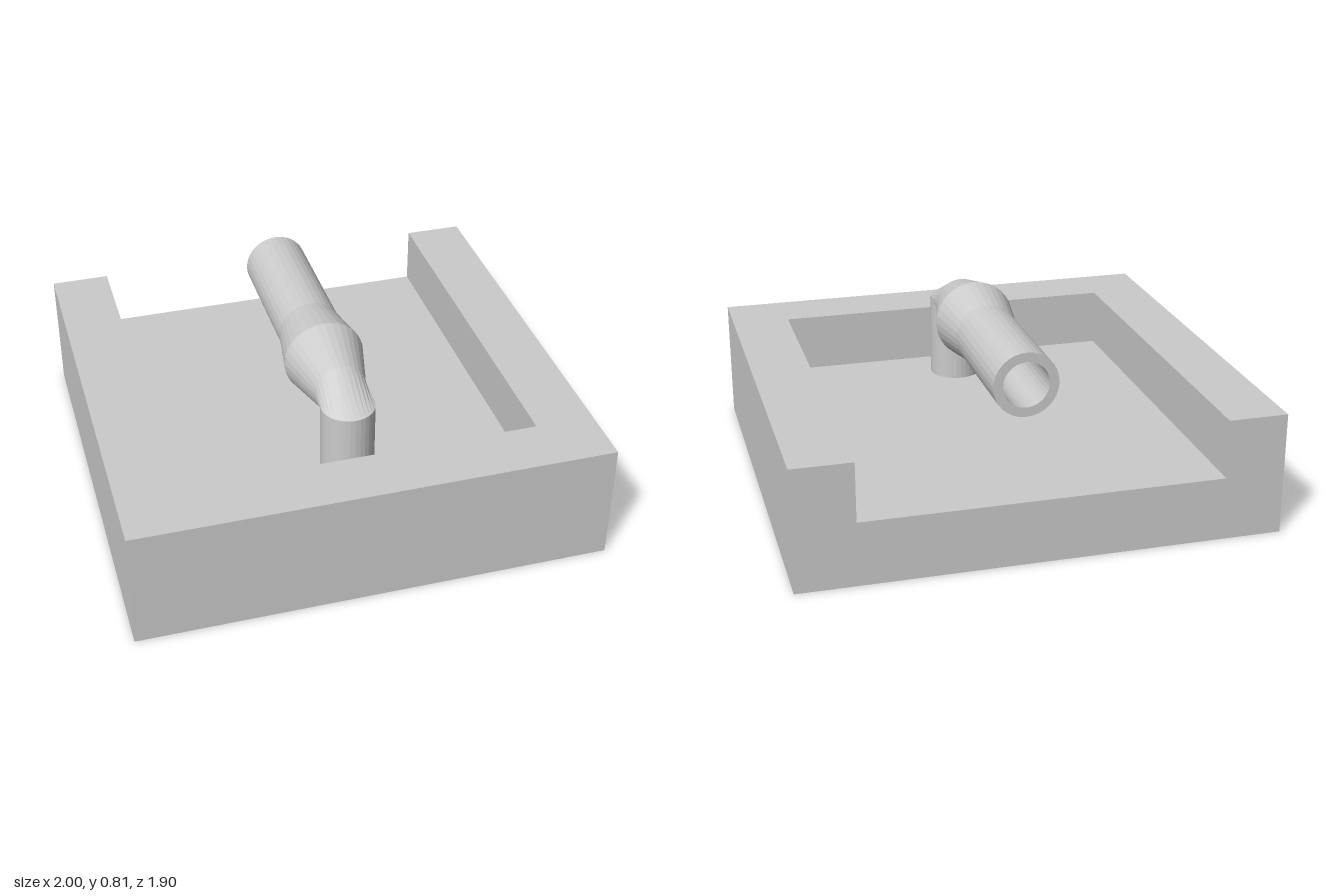
import * as THREE from 'three';

const material = new THREE.MeshStandardMaterial({ color: 0xcccccc, flatShading: true, side: THREE.DoubleSide });
const SIDES = 32;
const FLOOR = 0.27, TOP = 0.52;

// Skin a list of rings { r, y, z, pitch }: pitch 0 stands upright, PI/2 lies flat.
function loft(rings) {
  const positions = [], indices = [];
  for (const { r, y, z, pitch } of rings) {
    for (let j = 0; j < SIDES; j++) {
      const t = (j / SIDES) * Math.PI * 2;
      const s = r * Math.sin(t);
      positions.push(r * Math.cos(t), y + s * Math.cos(pitch), z + s * Math.sin(pitch));
    }
  }
  for (let i = 0; i < rings.length - 1; i++) {
    for (let j = 0; j < SIDES; j++) {
      const k = (j + 1) % SIDES;
      const a = i * SIDES + j, b = i * SIDES + k;
      indices.push(a, b, b + SIDES, a, b + SIDES, a + SIDES);
    }
  }
  const geometry = new THREE.BufferGeometry();
  geometry.setAttribute('position', new THREE.Float32BufferAttribute(positions, 3));
  geometry.setIndex(indices);
  geometry.computeVertexNormals();
  return geometry;
}

export function createModel() {
  const model = new THREE.Group();
  const add = (name, geometry) => {
    const mesh = new THREE.Mesh(geometry, material);
    mesh.name = name;
    model.add(mesh);
    return mesh;
  };

  // Tray floor slab
  add('trayBase', new THREE.BoxGeometry(2, FLOOR, 1.9)).position.y = FLOOR / 2;

  // U-shaped wall, open at the back (shape y points to -z)
  const wall = new THREE.Shape([
    [-1, -0.95], [1, -0.95], [1, 0.95], [0.75, 0.95],
    [0.75, -0.7], [-0.75, -0.7], [-0.75, 0.95], [-1, 0.95],
  ].map(([x, y]) => new THREE.Vector2(x, y)));
  const wallGeometry = new THREE.ExtrudeGeometry(wall, { depth: TOP - FLOOR, bevelEnabled: false });
  wallGeometry.rotateX(-Math.PI / 2);
  add('trayWall', wallGeometry).position.y = FLOOR;

  // Hollow pipe: tail, bulge, taper, then a bend down to the floor
  const axis = 0.638, thickness = 0.04, flat = Math.PI / 2;
  const outer = [
    { r: 0.137, y: axis, z: -0.66, pitch: 0 },
    { r: 0.137, y: axis, z: -0.07, pitch: 0 },
    { r: 0.173, y: axis, z: 0.15, pitch: 0 },
    { r: 0.113, y: axis, z: 0.39, pitch: 0 },
    { r: 0.113, y: axis, z: 0.503, pitch: flat },
    { r: 0.113, y: FLOOR, z: 0.503, pitch: flat },
  ];
  const inner = outer.map((ring) => ({ ...ring, r: ring.r - thickness })).reverse();
  add('pipe', loft([...outer, ...inner, outer[0]]));

  return model;
}
